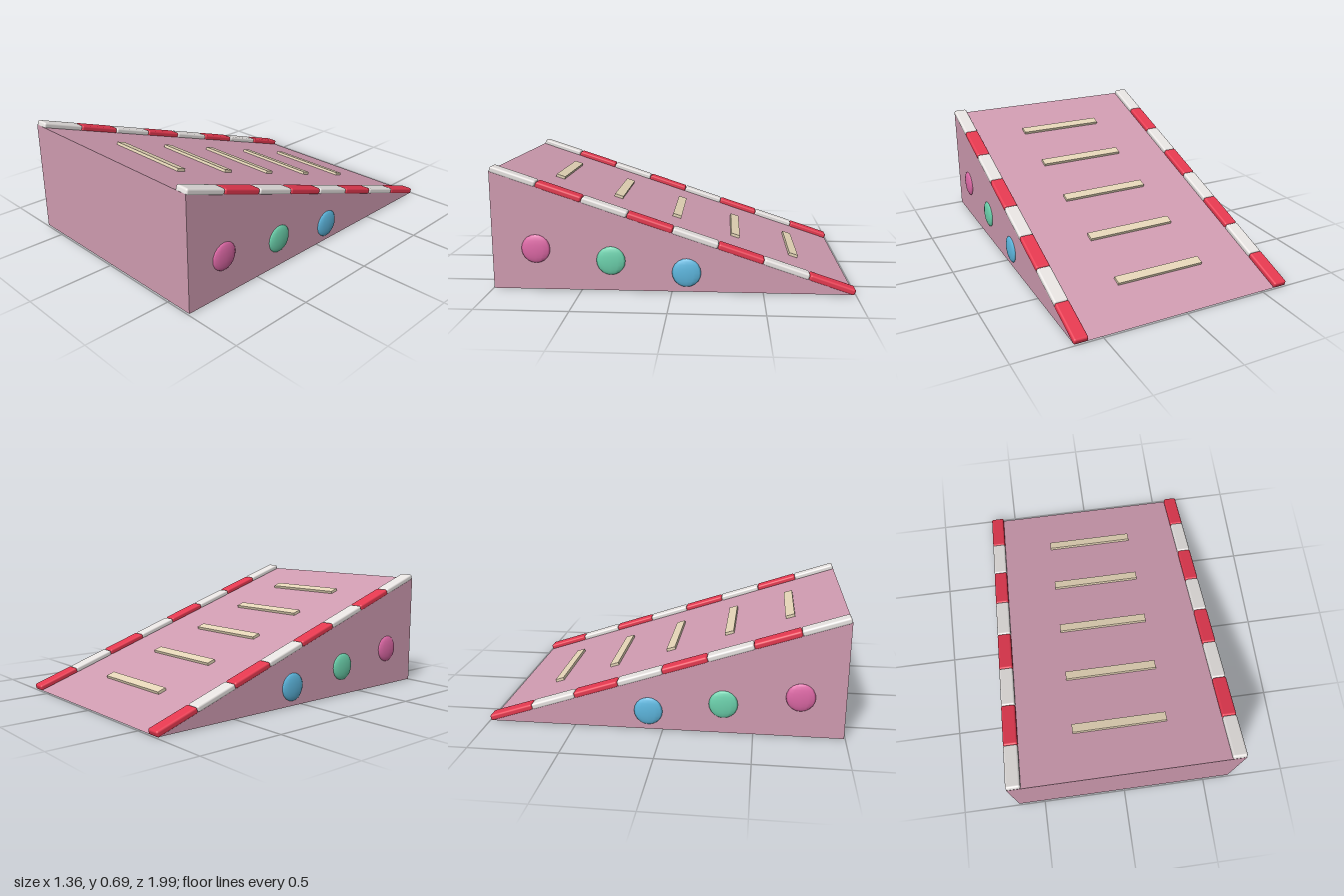
import * as THREE from 'three';
import { RoundedBoxGeometry } from 'three/addons/geometries/RoundedBoxGeometry.js';

const mat = (name, color) => {
  const m = new THREE.MeshStandardMaterial({ color });
  m.name = name;
  return m;
};

export function createModel() {
  const mauve = mat('mauve', 0xd09cb1);
  const white = mat('white', 0xf0ecea);
  const red = mat('red', 0xe63950);
  const cream = mat('cream', 0xe6d6b8);
  const dotColours = [mat('pink', 0xe06aa8), mat('green', 0x6dd3ae), mat('blue', 0x5eb8e0)];

  const model = new THREE.Group();
  model.name = 'ramp';
  const add = (parent, name, geometry, material) => {
    const mesh = new THREE.Mesh(geometry, material);
    mesh.name = name;
    parent.add(mesh);
    return mesh;
  };

  // Solid wedge, high at the front and sharp at the back
  const halfWidth = 0.66, base = 0.01, top = 0.67, halfLength = 0.993;
  const profile = new THREE.Shape([
    new THREE.Vector2(-halfLength, base),
    new THREE.Vector2(halfLength, top),
    new THREE.Vector2(halfLength, base),
  ]);
  const wedge = new THREE.ExtrudeGeometry(profile, { depth: 2 * halfWidth, bevelEnabled: false });
  wedge.translate(0, 0, -halfWidth).rotateY(-Math.PI / 2);
  add(model, 'wedge', wedge, mauve);

  // Everything on the slope lives in a tilted group: local z runs uphill, y is off the surface
  const slope = new THREE.Group();
  slope.name = 'slope';
  slope.position.y = (base + top) / 2;
  slope.rotation.x = -Math.atan2(top - base, 2 * halfLength);
  model.add(slope);

  // Edge rails of alternating rounded blocks
  const count = 8;
  const length = 2 * Math.hypot(halfLength, (top - base) / 2);
  const pitch = length / count;
  const block = new RoundedBoxGeometry(0.082, 0.036, pitch, 3, 0.012);
  for (const side of [-1, 1]) {
    const rail = new THREE.Group();
    rail.name = side > 0 ? 'leftRail' : 'rightRail';
    slope.add(rail);
    for (let i = 0; i < count; i++) {
      const mesh = add(rail, 'railBlock', block, i % 2 ? white : red);
      mesh.position.set(side * 0.622, 0.011, (i + 0.5) * pitch - length / 2);
    }
  }

  // Grip slats across the slope
  const slat = new THREE.BoxGeometry(0.54, 0.02, 0.053);
  for (let i = -2; i <= 2; i++) {
    add(slope, 'slat', slat, cream).position.set(0, 0.006, i * 0.364);
  }

  // Flattened round buttons on both flanks
  const button = new THREE.SphereGeometry(0.08, 12, 10).scale(0.22, 1, 1);
  for (const side of [-1, 1]) {
    dotColours.forEach((colour, i) => {
      add(model, 'sideButton', button, colour)
        .position.set(side * halfWidth, 0.24 - i * 0.061, 0.75 - i * 0.415);
    });
  }
  return model;
}
